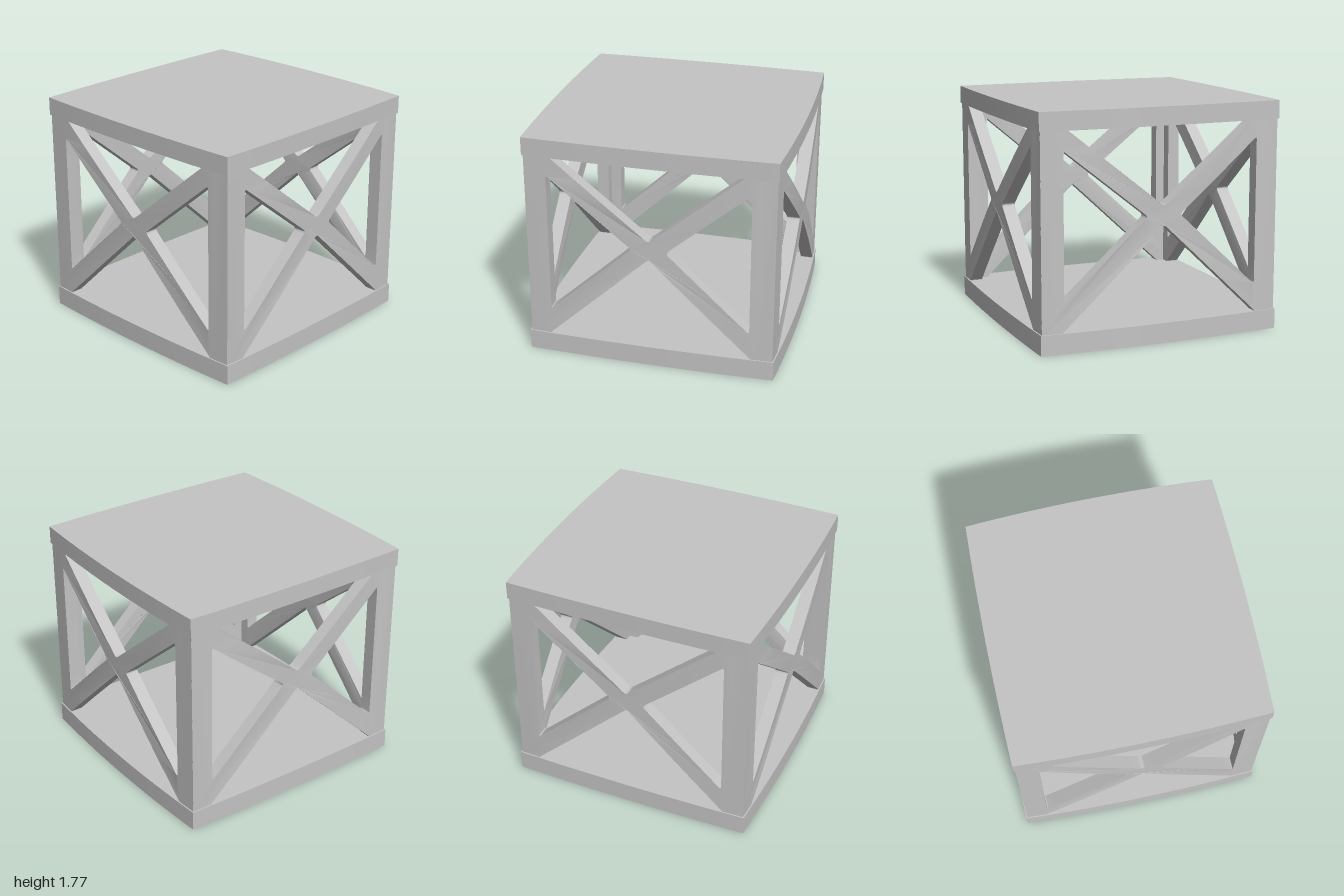
import * as THREE from 'three';
import { toCreasedNormals } from 'three/addons/utils/BufferGeometryUtils.js';

const HALF = 0.96;                              // half side length at the corners
const BULGE = [0.02, 0.035, 0.017, 0.027];      // outward bow of right, back, left, front
const SIDES = ['right', 'back', 'left', 'front'];
const bow = (t, k) => BULGE[k] * (1 - (t / HALF) ** 2);

// Square slab with gently bowed sides
function slabGeometry(y0, y1) {
  const pts = [];
  for (let k = 0; k < 4; k++) {
    for (let i = 0; i < 16; i++) {
      const t = -HALF + (2 * HALF * i) / 16;
      pts.push(new THREE.Vector2(HALF + bow(t, k), t)
        .rotateAround(new THREE.Vector2(), (k * Math.PI) / 2));
    }
  }
  const geo = new THREE.ExtrudeGeometry(new THREE.Shape(pts), { depth: y1 - y0, bevelEnabled: false });
  geo.rotateX(-Math.PI / 2);
  geo.translate(0, y0, 0);
  return toCreasedNormals(geo, 0.5);
}

// Triangular opening with softened corners and subdivided edges
function opening(corners, r = 0.025) {
  const v = corners.map(([x, y]) => new THREE.Vector2(x, y));
  const pts = [];
  v.forEach((c, i) => {
    const prev = v[(i + 2) % 3], next = v[(i + 1) % 3];
    const a = c.clone().add(prev.clone().sub(c).setLength(r));
    const b = c.clone().add(next.clone().sub(c).setLength(r));
    pts.push(...new THREE.QuadraticBezierCurve(a, c, b).getPoints(4));
    const end = next.clone().add(c.clone().sub(next).setLength(r));
    for (let s = 1; s < 8; s++) pts.push(b.clone().lerp(end, s / 8));
  });
  return new THREE.Path(pts);
}

// Side frame: two posts and crossed braces cut from one panel
function panelGeometry(k) {
  const w = 0.95, thick = 0.1, low = 0.14, high = 1.65;
  const outline = [];
  for (let i = 0; i <= 16; i++) outline.push(new THREE.Vector2(-w + (2 * w * i) / 16, low));
  for (let i = 16; i >= 0; i--) outline.push(new THREE.Vector2(-w + (2 * w * i) / 16, high));
  const shape = new THREE.Shape(outline);
  shape.holes.push(
    opening([[-0.78, 0.37], [-0.13, 0.97], [-0.78, 1.49]]),
    opening([[0.77, 0.37], [0.77, 1.51], [0.13, 0.97]]),
    opening([[-0.75, 1.64], [0, 1.04], [0.72, 1.64]]),
    opening([[-0.8, 0.15], [0.79, 0.15], [0, 0.9]]),
  );
  const geo = new THREE.ExtrudeGeometry(shape, { depth: thick, bevelEnabled: false });
  geo.translate(0, 0, w - thick);
  // Follow the bow of the slabs
  const p = geo.attributes.position;
  for (let i = 0; i < p.count; i++) p.setZ(i, p.getZ(i) + bow(p.getX(i), k));
  geo.computeVertexNormals();
  geo.rotateY(((k + 1) * Math.PI) / 2);
  return toCreasedNormals(geo, 0.5);
}

export function createModel() {
  const group = new THREE.Group();
  group.name = 'crossBracedTable';
  const grey = new THREE.MeshStandardMaterial({ color: 0xc4c4c4 });
  grey.name = 'lightGrey';
  const add = (name, geo) => {
    const mesh = new THREE.Mesh(geo, grey);
    mesh.name = name;
    group.add(mesh);
  };

  add('baseSlab', slabGeometry(0, 0.155));
  add('topSlab', slabGeometry(1.635, 1.775));
  SIDES.forEach((side, k) => add(`${side}BraceFrame`, panelGeometry(k)));

  group.rotation.y = -0.026;                    // slight turn of the whole piece
  return group;
}
